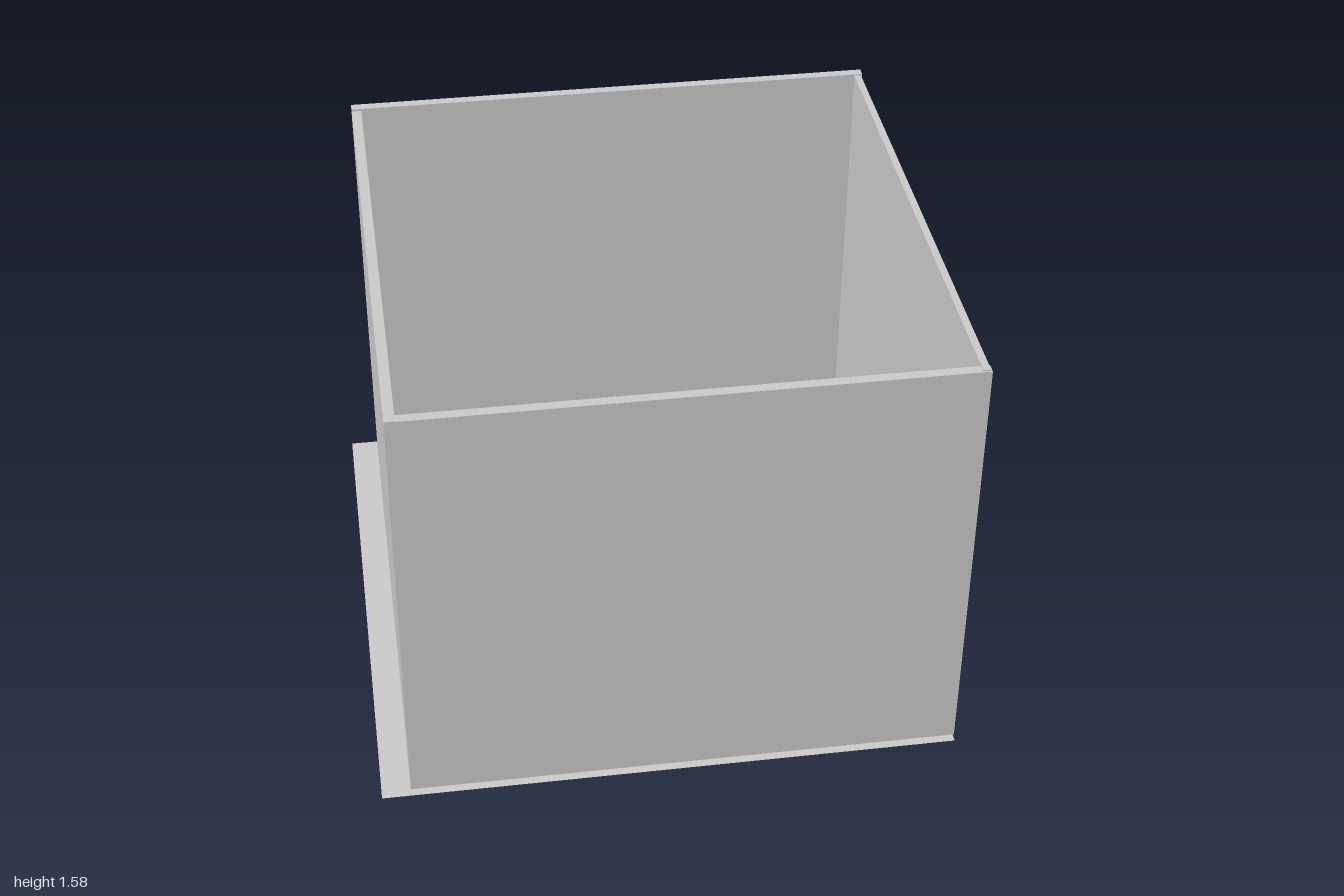
import * as THREE from 'three';

export function createModel() {
  const model = new THREE.Group();
  model.name = 'openRoom';

  const material = (name, color, side = THREE.FrontSide) => {
    const m = new THREE.MeshStandardMaterial({ color, side });
    m.name = name;
    return m;
  };
  const grey = material('plasterGrey', 0xcccccc);
  const floorGrey = material('floorGrey', 0xcccccc, THREE.DoubleSide);
  const brown = material('woodBrown', 0x80553a);
  const blue = material('ballBlue', 0x2196f3);

  const add = (name, geometry, mat, x, y, z, parent = model) => {
    const mesh = new THREE.Mesh(geometry, mat);
    mesh.name = name;
    mesh.position.set(x, y, z);
    parent.add(mesh);
    return mesh;
  };

  // Paper-thin floor, reaching past the walls
  const floor = add('floor', new THREE.PlaneGeometry(1.99, 2), floorGrey, -0.005, 0.01, 0);
  floor.rotation.x = -Math.PI / 2;

  // Four walls: [name, x0, x1, y0, y1, z0, z1]
  const walls = [
    ['leftWall', -0.9, -0.865, 0, 1.572, -0.93, 0.97],
    ['rightWall', 0.965, 0.99, 0.01, 1.575, -0.93, 0.965],
    ['frontWall', -0.9, 0.995, 0.01, 1.57, 0.935, 0.97],
    ['backWall', -0.9, 0.995, 0.012, 1.58, -0.965, -0.93],
  ];
  for (const [name, x0, x1, y0, y1, z0, z1] of walls) {
    add(name, new THREE.BoxGeometry(x1 - x0, y1 - y0, z1 - z0), grey,
      (x0 + x1) / 2, (y0 + y1) / 2, (z0 + z1) / 2);
  }

  // Square table on a single round leg
  const table = new THREE.Group();
  table.name = 'table';
  model.add(table);
  add('tableTop', new THREE.BoxGeometry(0.475, 0.03, 0.475), brown, 0.22, 0.435, 0.02, table);
  add('tableLeg', new THREE.CylinderGeometry(0.03, 0.03, 0.441, 32), brown, 0.215, 0.2305, 0.05, table);

  // Ball on the floor
  add('ball', new THREE.SphereGeometry(0.1, 32, 24), blue, 0.23, 0.11, 0.55);

  return model;
}
